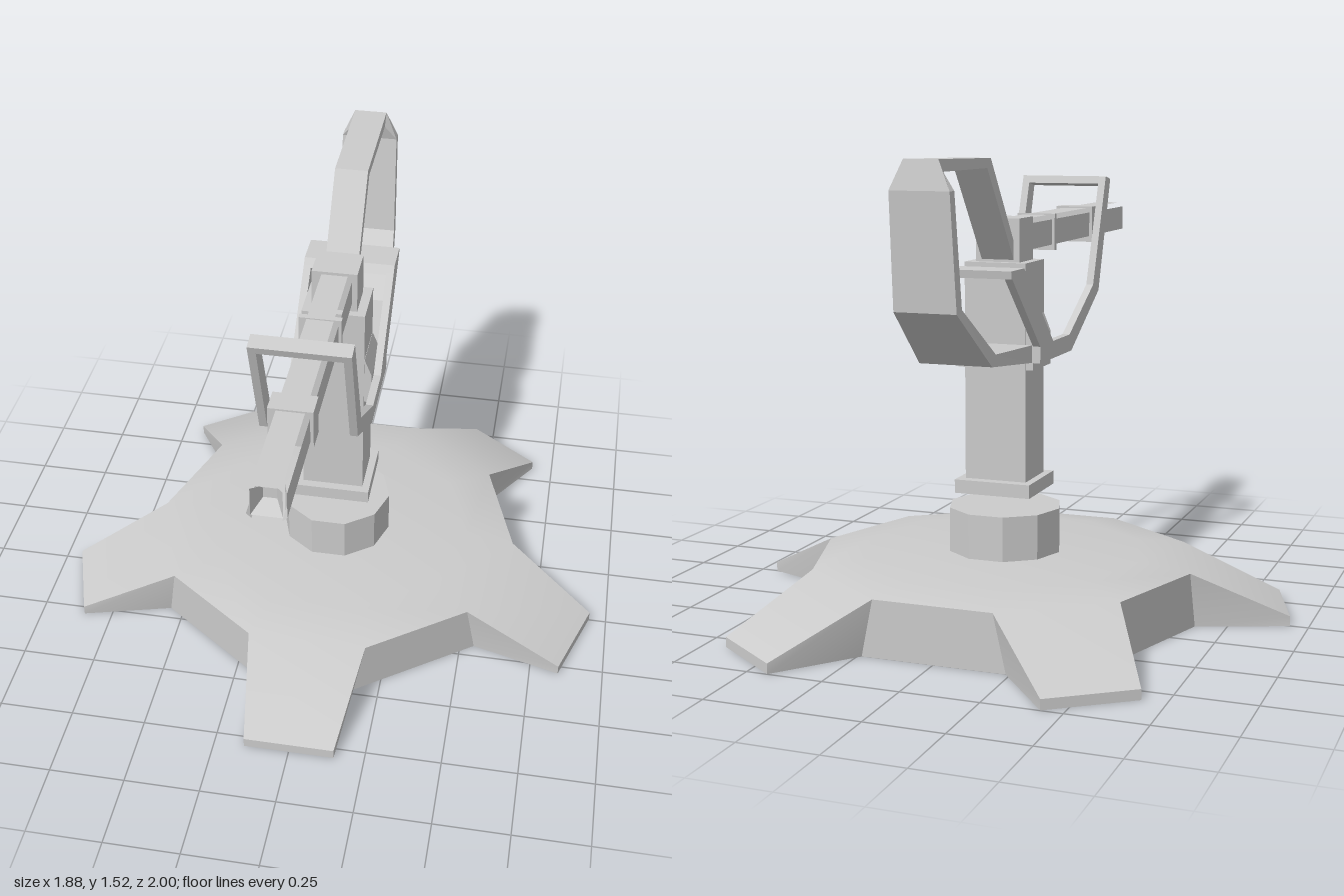
import * as THREE from 'three';
import { toCreasedNormals } from 'three/addons/utils/BufferGeometryUtils.js';

const CZ = -0.14; // axis of the base and column

function mat(side = THREE.FrontSide) {
  return new THREE.MeshStandardMaterial({ color: 0xcccccc, side });
}

function fromTriangles(tris) {
  const g = new THREE.BufferGeometry();
  g.setAttribute('position', new THREE.Float32BufferAttribute(tris.flat(2), 3));
  g.computeVertexNormals();
  return g;
}

const quad = (a, b, c, d) => [[a, b, c], [a, c, d]];

// Closed bar through side-on sections [outer z, outer y, inner z, inner y, x0, x1]
function strip(sections) {
  const rings = sections.map(([zo, yo, zi, yi, x0, x1]) =>
    [[x0, yo, zo], [x1, yo, zo], [x1, yi, zi], [x0, yi, zi]]);
  let tris = [...quad(...rings[0])];
  for (let i = 0; i + 1 < rings.length; i++) {
    const p = rings[i], q = rings[i + 1];
    for (let j = 0; j < 4; j++) {
      const k = (j + 1) % 4;
      tris.push(...quad(p[j], q[j], q[k], p[k]));
    }
  }
  tris.push(...quad(...rings[rings.length - 1].slice().reverse()));
  // Turn the faces outward when the sections run the other way
  const v = (t) => new THREE.Vector3(...t);
  const volume = tris.reduce((s, [a, b, c]) => s + v(a).dot(v(b).cross(v(c))), 0);
  if (volume < 0) tris = tris.map(([a, b, c]) => [a, c, b]);
  return fromTriangles(tris);
}

// Five-legged star with a shallow domed deck and steep walls
function starBase() {
  const tris = [], cz = -0.15;
  const point = (k, r, t, y) => {
    const a = k * Math.PI * 0.4;
    return [r * Math.sin(a) + t * Math.cos(a), y, r * Math.cos(a) - t * Math.sin(a) + cz];
  };
  const ring = [], top = [], bottom = [];
  for (let k = 0; k < 5; k++) {
    ring.push(point(k, 0.45, -0.148, 0.21), point(k, 0.45, 0.148, 0.21));
    top.push(point(k, 0.61, -0.2, 0.187), point(k, 0.94, -0.15, 0.033),
      point(k, 0.94, 0.15, 0.033), point(k, 0.61, 0.2, 0.187));
    bottom.push(point(k, 0.63, -0.165, 0), point(k, 0.94, -0.15, 0),
      point(k, 0.94, 0.15, 0), point(k, 0.63, 0.165, 0));
  }
  for (let k = 0; k < 5; k++) {
    const r1 = ring[2 * k], r2 = ring[2 * k + 1], r3 = ring[(2 * k + 2) % 10];
    const [n1, t1, t2, n2] = top.slice(4 * k, 4 * k + 4), n3 = top[(4 * k + 4) % 20];
    const c = [0, 0.213, cz];
    tris.push([c, r1, r2], [c, r2, r3]);
    tris.push(...quad(r1, n1, n2, r2), ...quad(r2, n2, n3, r3), ...quad(n1, t1, t2, n2));
  }
  for (let i = 0; i < 20; i++) {
    const j = (i + 1) % 20;
    tris.push(...quad(bottom[i], bottom[j], top[j], top[i]));
    tris.push([[0, 0, cz], bottom[j], bottom[i]]);
  }
  return toCreasedNormals(fromTriangles(tris), 0.5);
}

// Barrel: four flat walls, with inward-facing strips along the corners
function barrelGeometry(z0, z1, y) {
  const s = 0.058, c = 0.043, tris = [];
  const pts = [[s, -c], [s, c], [c, s], [-c, s], [-s, c], [-s, -c], [-c, -s], [c, -s]];
  pts.forEach((p, i) => {
    const q = pts[(i + 1) % 8];
    const a = [p[0], y + p[1], z1], b = [p[0], y + p[1], z0];
    const d = [q[0], y + q[1], z1], e = [q[0], y + q[1], z0];
    tris.push(...(i % 2 ? quad(a, d, e, b) : quad(a, b, e, d)));
  });
  // Recessed muzzle
  const sq = (h, z) => [[h, y - h, z], [h, y + h, z], [-h, y + h, z], [-h, y - h, z]];
  const o = sq(0.046, z1), n = sq(0.02, z1 - 0.05);
  for (let j = 0; j < 4; j++) {
    const k = (j + 1) % 4;
    tris.push(...quad(o[j], o[k], n[k], n[j]));
  }
  tris.push(...quad(...n));
  return fromTriangles(tris);
}

export function createModel() {
  const model = new THREE.Group();
  const add = (name, geometry, x = 0, y = 0, z = 0) => {
    const m = new THREE.Mesh(geometry, mat());
    m.name = name;
    m.position.set(x, y, z);
    model.add(m);
    return m;
  };
  // Box given by half width and its y and z ranges
  const block = (name, hx, y0, y1, z0, z1) =>
    add(name, new THREE.BoxGeometry(2 * hx, y1 - y0, z1 - z0), 0, (y0 + y1) / 2, (z0 + z1) / 2);

  // Base and ten-sided hub
  add('base', starBase());
  const hub = new THREE.CylinderGeometry(0.19, 0.19, 0.155, 10).rotateY(Math.PI / 10);
  add('hub', toCreasedNormals(hub, 0.4), 0, 0.2825, -0.135);

  // Column, set just above the hub
  block('columnFoot', 0.13, 0.415, 0.46, -0.26, -0.02);
  block('column', 0.105, 0.46, 1.175, -0.225, -0.05);
  block('columnBracket', 0.13, 0.83, 0.94, -0.222, -0.053);
  for (const s of [1, -1]) {
    add('bracketSlope', strip([
      [-0.222, 0.94, -0.053, 0.94, s * 0.09, s * 0.13],
      [-0.222, 1.0, -0.053, 1.0, s * 0.09, s * 0.106],
    ]));
  }

  // Head, barrel and collars
  const by = 1.248;
  block('head', 0.075, 1.17, 1.316, -0.2, -0.075);
  add('barrel', barrelGeometry(-0.075, 1, by));
  block('frontCollar', 0.068, by - 0.064, by + 0.064, 0.58, 0.66);
  block('rearCollar', 0.068, by - 0.062, by + 0.062, 0.165, 0.185);

  // Front and rear handle frames, mirrored side bars plus crossbars
  for (const s of [1, -1]) {
    const x = [s * 0.13, s * 0.155];
    add('frontHandleBar', strip([
      [0.52, 1.416, 0.466, 1.427, ...x],
      [0.39, 1.03, 0.327, 1.055, ...x],
      [0.09, 0.855, 0.07, 0.912, ...x],
      [-0.225, 0.855, -0.225, 0.912, ...x],
    ]));
    add('rearHandleBar', strip([
      [-0.085, 0.9, -0.215, 0.9, ...x],
      [-0.355, 1.155, -0.48, 1.15, ...x],
      [-0.375, 1.175, -0.49, 1.175, ...x],
    ]));
  }
  add('frontCrossbar', strip([
    [0.52, 1.416, 0.466, 1.427, -0.155, 0.155],
    [0.511, 1.39, 0.457, 1.401, -0.155, 0.155],
  ]));
  add('rearCrossbar', strip([
    [-0.375, 1.175, -0.49, 1.175, -0.155, 0.155],
    [-0.35, 1.15, -0.485, 1.15, -0.155, 0.155],
  ]));

  // Rear loop: narrow over the top, wide down the back and under
  add('rearLoop', strip([
    [-0.19, 1.23, -0.19, 1.17, 0.055],
    [-0.4, 1.513, -0.43, 1.483, 0.055],
    [-0.81, 1.52, -0.775, 1.483, 0.055],
    [-0.825, 1.43, -0.79, 1.43, 0.095],
    [-0.79, 1.075, -0.75, 1.085, 0.1],
    [-0.56, 0.89, -0.53, 0.925, 0.12],
    [-0.22, 0.855, -0.22, 0.912, 0.125],
  ].map(([a, b, c, d, w]) => [a, b, c, d, -w, w])));

  return model;
}
